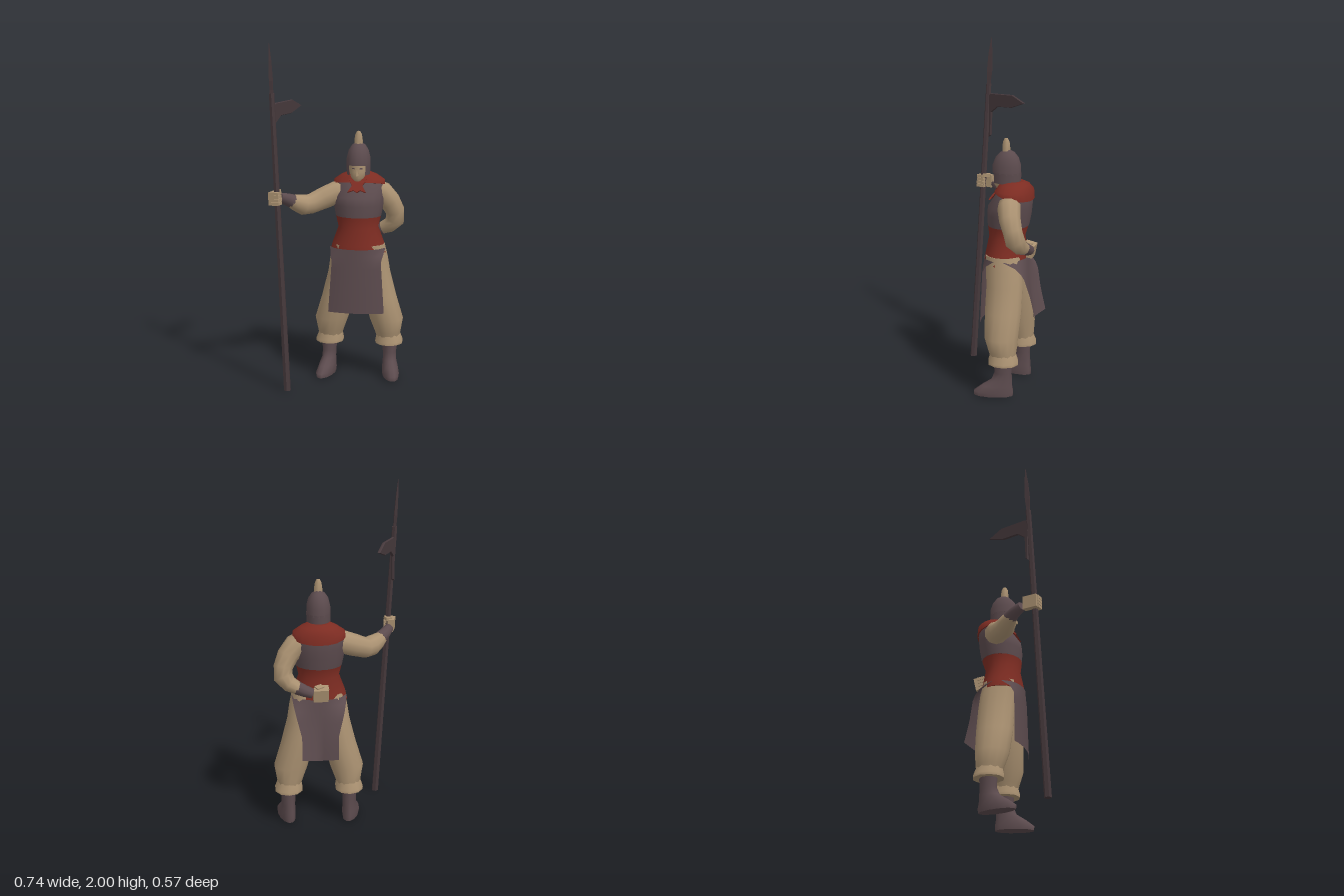
import * as THREE from 'three';

const mat = (name, color, side = THREE.FrontSide) => {
  const m = new THREE.MeshStandardMaterial({ color, side });
  m.name = name;
  return m;
};
const CX = 0.105; // body centre line

// Skin closed loops {p, a, b, U, V} into a smooth capped tube
function loft(rings, seg) {
  const pos = [], idx = [];
  const addRing = r => {
    for (let j = 0; j < seg; j++) {
      const t = ((j + 0.5) / seg) * Math.PI * 2, c = Math.cos(t) * r.a, s = Math.sin(t) * r.b;
      pos.push(r.p.x + r.U.x * c + r.V.x * s, r.p.y + r.U.y * c + r.V.y * s, r.p.z + r.U.z * c + r.V.z * s);
    }
  };
  rings.forEach(addRing);
  for (let i = 0; i < rings.length - 1; i++) for (let j = 0; j < seg; j++) {
    const k = (j + 1) % seg, a = i * seg + j, b = i * seg + k, c = a + seg, d = b + seg;
    idx.push(a, c, b, b, c, d);
  }
  [rings[0], rings[rings.length - 1]].forEach((r, end) => {
    const base = pos.length / 3;
    addRing(r);
    pos.push(r.p.x, r.p.y, r.p.z);
    for (let j = 0; j < seg; j++) {
      const a = base + j, b = base + (j + 1) % seg;
      end ? idx.push(base + seg, b, a) : idx.push(base + seg, a, b);
    }
  });
  const g = new THREE.BufferGeometry();
  g.setAttribute('position', new THREE.Float32BufferAttribute(pos, 3));
  g.setIndex(idx);
  g.computeVertexNormals();
  return g;
}

// Horizontal loops, bottom to top: [x, y, z, rx, rz, tilt towards +z]
const stack = (rows, seg = 14) => loft(rows.map(([x, y, z, a, b, tilt = 0]) => ({
  p: new THREE.Vector3(x, y, z), a, b, U: new THREE.Vector3(1, 0, 0), V: new THREE.Vector3(0, tilt / b, 1)
})), seg);

// Round loops square to a path: [x, y, z, r]
function limb(rows, ref, seg = 10) {
  const P = rows.map(r => new THREE.Vector3(r[0], r[1], r[2]));
  return loft(rows.map((r, i) => {
    const T = P[Math.min(i + 1, P.length - 1)].clone().sub(P[Math.max(i - 1, 0)]).normalize();
    const U = T.clone().cross(ref).normalize();
    return { p: P[i], a: r[3], b: r[3], U, V: U.clone().cross(T) };
  }), seg);
}

// Cloth panel: rule(u in -1..1, v from top 0 to hem 1) gives a point
function panel(rule) {
  const g = new THREE.PlaneGeometry(2, 1, 10, 10), p = g.attributes.position;
  for (let i = 0; i < p.count; i++) p.setXYZ(i, ...rule(p.getX(i), 0.5 - p.getY(i)));
  g.computeVertexNormals();
  return g;
}

const flat = g => { const f = g.toNonIndexed(); f.computeVertexNormals(); return f; };
const mix = THREE.MathUtils.lerp;

export function createModel() {
  const root = new THREE.Group();
  const tan = mat('tan', 0xab9272), dark = mat('dark leather', 0x5c4b4e, THREE.DoubleSide);
  const red = mat('red cloth', 0x7d2c22), iron = mat('dark wood and iron', 0x45383b);
  const add = (name, geo, m, parent = root) => {
    const mesh = new THREE.Mesh(geo, m);
    mesh.name = name;
    parent.add(mesh);
    return mesh;
  };
  const UP = new THREE.Vector3(0, 1, 0), FRONT = new THREE.Vector3(0, 0, 1);

  // Torso
  add('waistSash', stack([[CX, 0.77, -0.08, 0.167, 0.122], [CX, 0.82, -0.08, 0.155, 0.12],
    [CX, 0.92, -0.082, 0.118, 0.102], [CX, 0.995, -0.09, 0.136, 0.118]], 18), red);
  add('chestArmour', stack([[CX, 0.985, -0.09, 0.135, 0.118], [CX, 1.05, -0.095, 0.147, 0.125],
    [CX, 1.1, -0.1, 0.15, 0.125], [CX, 1.18, -0.13, 0.146, 0.1], [CX, 1.21, -0.125, 0.11, 0.08]], 18), dark);
  add('collar', stack([[CX, 1.165, -0.126, 0.154, 0.11, 0.025], [CX, 1.195, -0.13, 0.15, 0.102, 0.006],
    [CX, 1.225, -0.125, 0.105, 0.085], [CX, 1.243, -0.12, 0.06, 0.06]], 18), red);
  const tab = new THREE.Shape([[-0.055, 0.05], [-0.03, 0.01], [-0.055, -0.035], [-0.02, -0.022], [0, -0.035],
    [0.02, -0.022], [0.055, -0.035], [0.03, 0.01], [0.055, 0.05]].map(p => new THREE.Vector2(...p)));
  const bow = add('collarKnot', new THREE.ExtrudeGeometry(tab, { depth: 0.009, bevelEnabled: false }), red);
  bow.position.set(CX, 1.16, -0.014);
  bow.rotation.x = -0.6;

  // Skirt panels
  add('frontApron', panel((u, v) => {
    const k = Math.max(0.62, 0.98 - 2 * v), hw = v < 0.2 ? mix(0.165, 0.145, v * 5) : mix(0.145, 0.165, (v - 0.2) / 0.8);
    return [CX + u * hw, mix(0.8, 0.42, v), mix(-0.078, -0.068, v) + 0.124 * Math.sqrt(1 - (u * k) ** 2)];
  }), dark);
  add('backApron', panel((u, v) => {
    const k = Math.max(0, 0.98 - 3 * v);
    return [CX - u * mix(0.16, 0.105, Math.min(1, v * 1.6)), mix(0.8, 0.46, v) - 0.02 * v * (1 - Math.abs(u)),
      mix(-0.08, -0.12, v) - 0.124 * Math.sqrt(1 - (u * k) ** 2) - 0.04 * v * Math.abs(u)];
  }), dark);

  // Baggy trousers, cuffs and boots
  for (const s of [-1, 1]) {
    const side = s < 0 ? 'right' : 'left', X = d => CX + (s > 0 ? 0.008 : 0) + s * d;
    add(side + 'TrouserLeg', stack([[X(0.17), 0.25, -0.115, 0.07, 0.075], [X(0.168), 0.28, -0.112, 0.078, 0.082],
      [X(0.16), 0.36, -0.102, 0.1, 0.098], [X(0.122), 0.5, -0.1, 0.096, 0.107], [X(0.09), 0.65, -0.098, 0.09, 0.107],
      [X(0.078), 0.74, -0.09, 0.088, 0.107], [X(0.07), 0.82, -0.08, 0.078, 0.1]]), tan);
    add(side + 'TrouserCuff', stack([[X(0.175), 0.205, -0.118, 0.083, 0.09], [X(0.175), 0.22, -0.118, 0.085, 0.09],
      [X(0.17), 0.27, -0.115, 0.07, 0.075]], 10), tan);
    const boot = add(side + 'Boot', stack([[0, 0.01, 0.055, 0.046, 0.115], [0, 0.035, 0.055, 0.05, 0.117],
      [0, 0.07, 0.035, 0.046, 0.09], [0, 0.105, 0.008, 0.04, 0.062], [0, 0.15, 0, 0.04, 0.05],
      [0, 0.25, 0, 0.052, 0.055]], 12), dark);
    boot.position.set(X(0.178), 0, -0.118);
    boot.rotation.y = s * 0.22;
  }

  // Head, face and helmet
  add('neck', stack([[CX, 1.17, -0.11, 0.045, 0.045], [CX, 1.27, -0.09, 0.042, 0.045]], 10), tan);
  add('face', stack([[CX, 1.195, -0.045, 0.02, 0.025], [CX, 1.215, -0.057, 0.04, 0.05],
    [CX, 1.25, -0.07, 0.053, 0.067], [CX, 1.31, -0.075, 0.056, 0.068]], 12), tan);
  const nose = add('nose', new THREE.ConeGeometry(0.011, 0.04, 4), tan);
  nose.position.set(CX, 1.25, -0.002);
  for (const s of [-1, 1]) {
    const eye = add('eye', new THREE.BoxGeometry(0.018, 0.006, 0.005), dark);
    eye.position.set(CX + s * 0.022, 1.272, -0.01);
    eye.rotation.y = s * 0.35;
  }
  add('helmetDome', stack([[CX, 1.285, -0.078, 0.07, 0.085, 0.005], [CX, 1.33, -0.078, 0.069, 0.084],
    [CX, 1.375, -0.08, 0.058, 0.068], [CX, 1.405, -0.082, 0.038, 0.042], [CX, 1.42, -0.083, 0.014, 0.014]]), dark);
  const guard = add('helmetNeckGuard', new THREE.CylinderGeometry(1, 0.97, 0.06, 14, 1, true, 0.75, Math.PI * 2 - 1.5), dark);
  guard.scale.set(0.07, 1, 0.085);
  guard.position.set(CX, 1.262, -0.078);
  add('plume', stack([[CX, 1.405, -0.075, 0.027, 0.024], [CX, 1.43, -0.075, 0.027, 0.024],
    [CX, 1.465, -0.075, 0.021, 0.02], [CX, 1.484, -0.075, 0.01, 0.01]], 6), tan);

  // Right arm reaching out to the polearm
  add('rightArm', limb([[0.03, 1.125, -0.1, 0.06], [-0.03, 1.115, -0.09, 0.068], [-0.1, 1.085, -0.065, 0.066],
    [-0.17, 1.055, -0.03, 0.06], [-0.21, 1.055, 0.01, 0.06], [-0.25, 1.073, 0.04, 0.048],
    [-0.28, 1.09, 0.07, 0.036]], UP), tan);
  add('rightBracer', limb([[-0.265, 1.083, 0.055, 0.041], [-0.295, 1.1, 0.09, 0.035], [-0.325, 1.118, 0.14, 0.028]], UP), dark);

  // Left arm bent with the fist behind the hip
  add('leftArm', limb([[0.19, 1.14, -0.125, 0.06], [0.24, 1.115, -0.135, 0.066], [0.285, 1.06, -0.155, 0.062],
    [0.312, 1.0, -0.18, 0.057], [0.312, 0.945, -0.195, 0.057], [0.275, 0.905, -0.21, 0.046],
    [0.22, 0.88, -0.222, 0.035]], FRONT), tan);
  add('leftBracer', limb([[0.235, 0.886, -0.217, 0.039], [0.19, 0.868, -0.226, 0.034], [0.145, 0.853, -0.23, 0.028]], FRONT), dark);

  // Fists: palm, four curled fingers and a thumb
  const fist = (name, x, y, z, ry, rz) => {
    const g = new THREE.Group();
    g.name = name;
    add('palm', new THREE.BoxGeometry(0.035, 0.075, 0.085), tan, g);
    for (let i = 0; i < 4; i++) {
      const f = add('finger', new THREE.BoxGeometry(0.045, 0.017, 0.05), tan, g);
      f.position.set(0.024, -0.029 + i * 0.0193, 0.022);
    }
    const thumb = add('thumb', new THREE.BoxGeometry(0.035, 0.018, 0.045), tan, g);
    thumb.position.set(0.022, 0.036, -0.008);
    thumb.rotation.y = 0.5;
    g.position.set(x, y, z);
    g.rotation.set(0, ry, rz);
    root.add(g);
  };
  fist('rightFist', -0.345, 1.125, 0.195, -0.25, 0.05);
  fist('leftFist', 0.1, 0.842, -0.228, -1.5, 0.2);

  // Polearm: leaning shaft, spear point and side blade
  const lean = (y, a, b = a) => [mix(-0.265, -0.37, y / 2), y, mix(0.262, 0.175, y / 2), a, b];
  add('shaft', flat(stack([lean(0.004, 0.021), lean(1.72, 0.016)], 6)), iron);
  add('spearPoint', flat(stack([lean(1.68, 0.014), lean(1.74, 0.012, 0.014), lean(1.79, 0.013, 0.02),
    lean(1.9, 0.009, 0.015), lean(2, 0.001)], 4)), iron);
  const hook = new THREE.Shape([[0, 1.4], [0.012, 1.41], [0.018, 1.55], [0.07, 1.59], [0.18, 1.595],
    [0.278, 1.63], [0.19, 1.667], [0.02, 1.66], [0, 1.65]].map(p => new THREE.Vector2(...p)));
  const blade = add('sideBlade', new THREE.ExtrudeGeometry(hook, {
    depth: 0.004, bevelThickness: 0.006, bevelSize: 0.003, bevelSegments: 1 }), iron);
  blade.position.set(-0.352, 0, 0.182);
  blade.rotation.y = Math.atan2(0.26, 0.115);
  return root;
}
